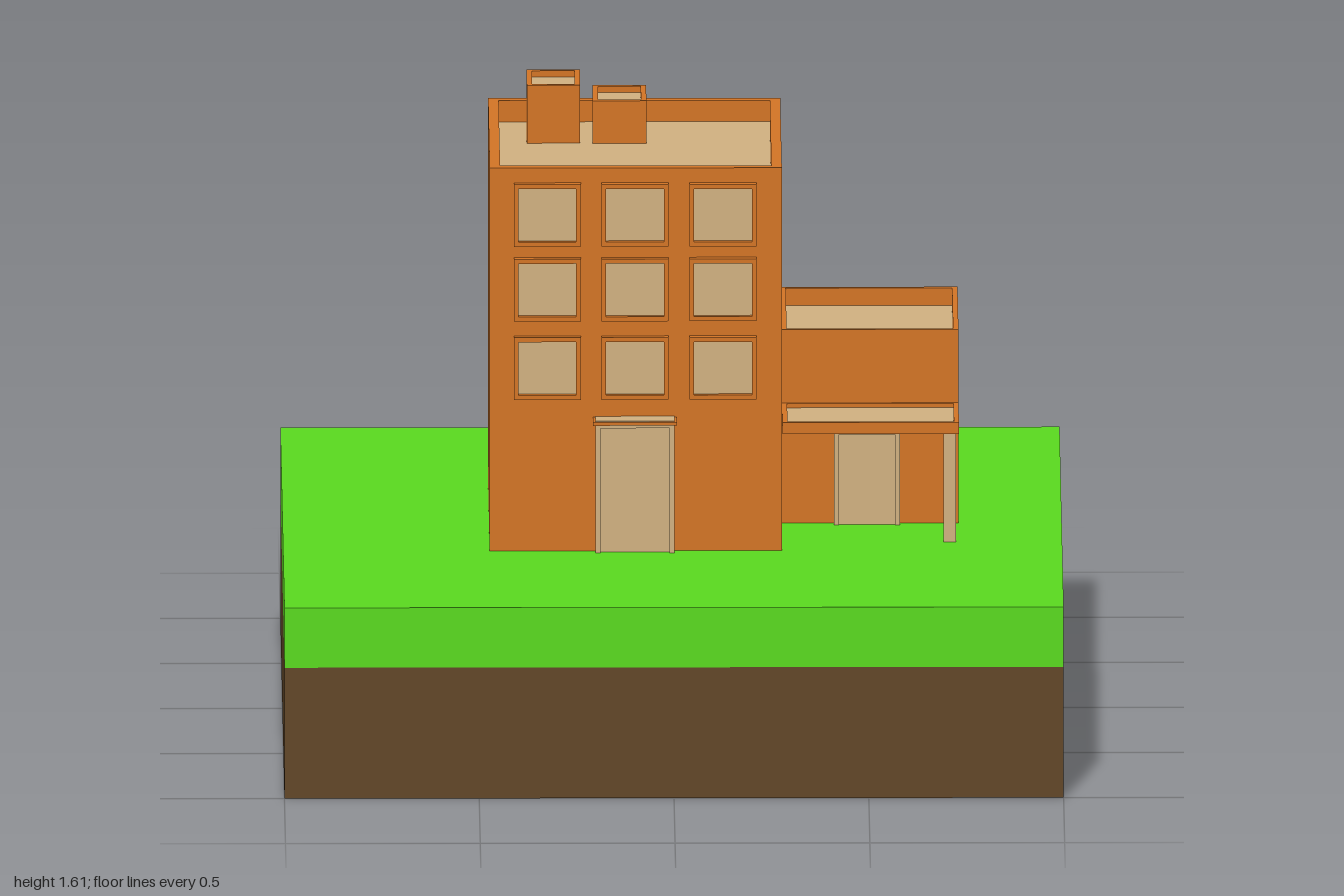
import * as THREE from 'three';

const paint = (color) => new THREE.MeshStandardMaterial({ color });

export function createModel() {
  const model = new THREE.Group();
  const grass = paint(0x5bdd20), soil = paint(0x634829);
  const brick = paint(0xd67626), plaster = paint(0xd4b382);

  // Box given by its lower and upper corners
  function box(name, mat, x0, x1, y0, y1, z0, z1, parent = model) {
    const mesh = new THREE.Mesh(new THREE.BoxGeometry(x1 - x0, y1 - y0, z1 - z0), mat);
    mesh.position.set((x0 + x1) / 2, (y0 + y1) / 2, (z0 + z1) / 2);
    mesh.name = name;
    parent.add(mesh);
    return mesh;
  }

  // Rectangular ring in the xy plane, extruded along +z from 0
  function ring(w, h, rim, depth) {
    const outline = (a, b, Type) => new Type([
      new THREE.Vector2(-a, -b), new THREE.Vector2(a, -b),
      new THREE.Vector2(a, b), new THREE.Vector2(-a, b)]);
    const shape = outline(w / 2, h / 2, THREE.Shape);
    shape.holes.push(outline(w / 2 - rim, h / 2 - rim, THREE.Path));
    return new THREE.ExtrudeGeometry(shape, { depth, bevelEnabled: false });
  }

  // Block whose top is a sunken floor inside a parapet
  function block(name, x0, x1, y0, y1, z0, z1, rim, sunk) {
    const group = new THREE.Group();
    group.name = name;
    model.add(group);
    box(name + 'Walls', brick, x0, x1, y0, y1 - sunk, z0, z1, group);
    const parapet = new THREE.Mesh(ring(x1 - x0, z1 - z0, rim, sunk), brick);
    parapet.rotation.x = -Math.PI / 2;
    parapet.position.set((x0 + x1) / 2, y1 - sunk, (z0 + z1) / 2);
    parapet.name = name + 'Parapet';
    group.add(parapet);
    box(name + 'Floor', plaster, x0 + rim, x1 - rim, y1 - sunk - 0.005, y1 - sunk + 0.004,
      z0 + rim, z1 - rim, group);
  }

  // Door: panel inside a three-sided frame
  function door(name, x0, x1, top, wallZ, depth) {
    const group = new THREE.Group();
    group.name = name;
    model.add(group);
    const t = 0.013, front = wallZ + depth;
    box('doorPanel', plaster, x0 + t, x1 - t, 0.5, top - t, wallZ - 0.005, front - 0.01, group);
    box('doorJamb', plaster, x0, x0 + t, 0.5, top, wallZ, front, group);
    box('doorJamb', plaster, x1 - t, x1, 0.5, top, wallZ, front, group);
    box('doorLintel', plaster, x0 + t, x1 - t, top - t, top, wallZ, front, group);
  }

  // Ground slab
  box('soil', soil, -1, 1, 0, 0.345, -1, 1);
  box('grass', grass, -1, 1, 0.345, 0.503, -1, 1);

  // Tower, side annex and rooftop vents
  block('tower', -0.47, 0.28, 0.5, 1.513, -0.405, 0.37, 0.027, 0.06);
  block('annex', 0.28, 0.735, 0.5, 1.013, -0.41, 0.065, 0.014, 0.05);
  block('tallVent', -0.372, -0.235, 1.45, 1.61, -0.315, -0.14, 0.014, 0.02);
  block('shortVent', -0.203, -0.065, 1.45, 1.57, -0.31, -0.135, 0.014, 0.02);

  // Porch roof with its corner post
  block('porchRoof', 0.282, 0.735, 0.79, 0.82, 0.06, 0.285, 0.013, 0.015);
  box('porchPost', plaster, 0.695, 0.728, 0.5, 0.79, 0.245, 0.278);

  // Doors
  door('mainDoor', -0.198, 0.004, 0.845, 0.37, 0.025);
  door('annexDoor', 0.415, 0.585, 0.755, 0.065, 0.025);
  box('doorCanopy', brick, -0.205, 0.01, 0.847, 0.856, 0.37, 0.43);
  box('doorCanopyTop', plaster, -0.199, 0.004, 0.85, 0.858, 0.371, 0.424);

  // Three rows of three framed windows
  for (const y of [0.988, 1.195, 1.392]) {
    for (const x of [-0.322, -0.097, 0.129]) {
      const group = new THREE.Group();
      group.name = 'window';
      group.position.set(x, y, 0.37);
      const frame = new THREE.Mesh(ring(0.172, 0.164, 0.012, 0.02), brick);
      frame.name = 'windowFrame';
      group.add(frame);
      box('windowPane', plaster, -0.074, 0.074, -0.07, 0.07, -0.005, 0.005, group);
      model.add(group);
    }
  }
  return model;
}
